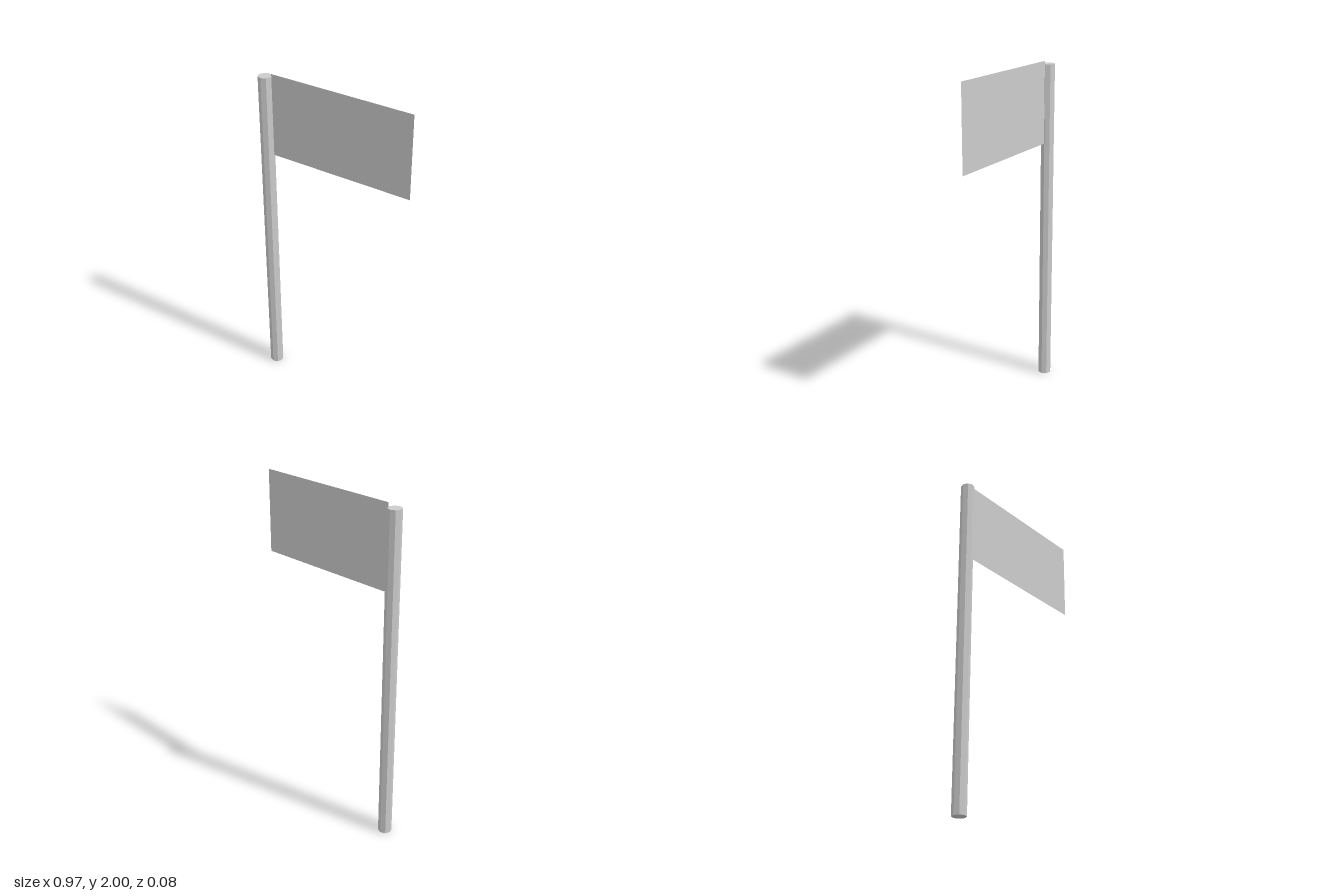
import * as THREE from 'three';

export function createModel() {
  const model = new THREE.Group();
  model.name = 'flagOnPole';

  const grey = new THREE.MeshStandardMaterial({ color: 0xcccccc, flatShading: true, side: THREE.DoubleSide });
  grey.name = 'plain grey';

  // Eight-sided pole, capped at both ends
  const poleHeight = 1.98;
  const pole = new THREE.Mesh(new THREE.CylinderGeometry(0.04, 0.04, poleHeight, 8), grey);
  pole.name = 'pole';
  pole.position.set(-0.447, poleHeight / 2, 0);
  model.add(pole);

  // Flat rectangular flag, a single sheet just clear of the pole
  const left = -0.403, right = 0.487, bottom = 1.513, top = 2;
  const flag = new THREE.Mesh(new THREE.PlaneGeometry(right - left, top - bottom), grey);
  flag.name = 'flag';
  flag.position.set((left + right) / 2, (bottom + top) / 2, 0);
  model.add(flag);

  return model;
}
